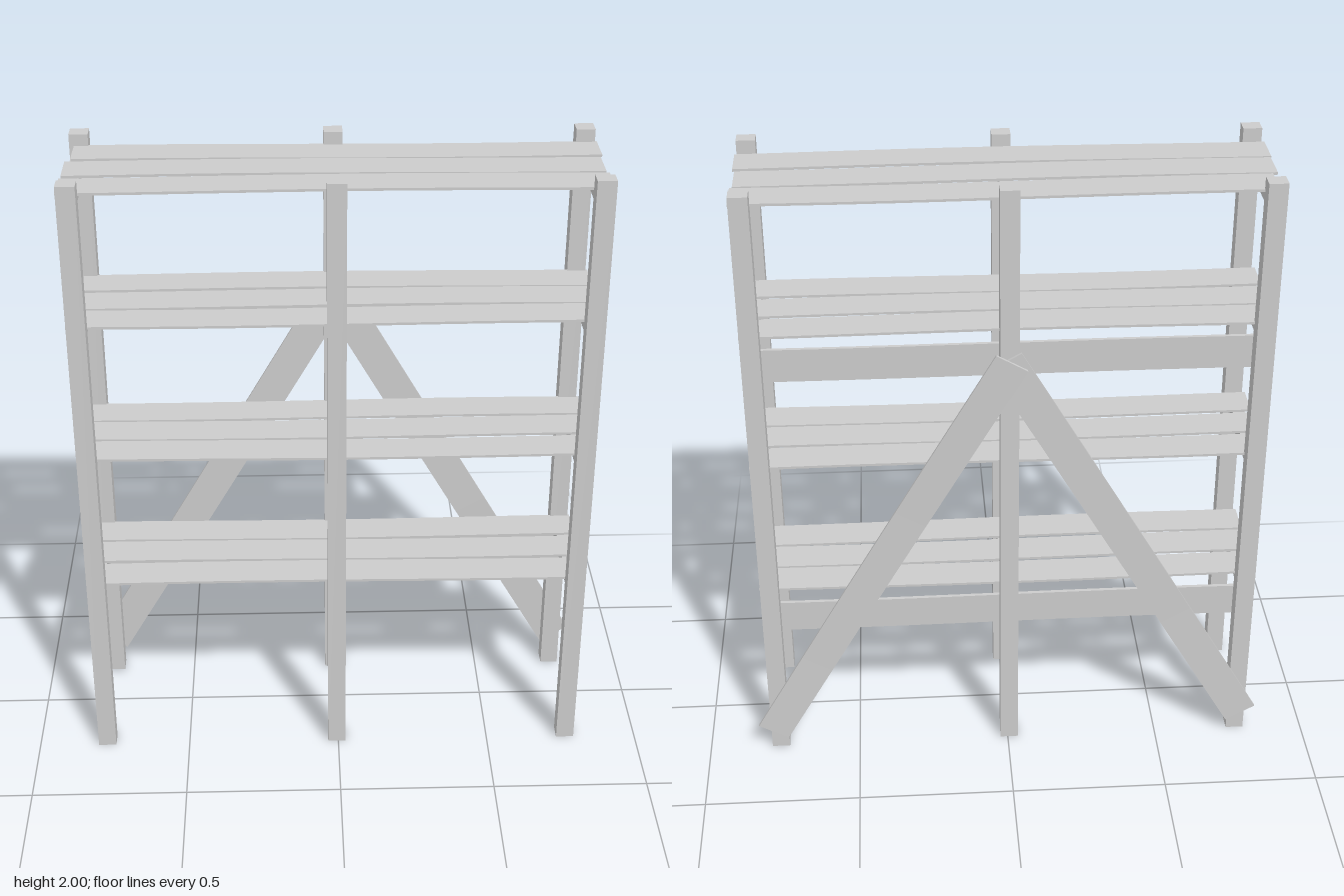
import * as THREE from 'three';

const material = new THREE.MeshStandardMaterial({ color: 0xcccccc, flatShading: true });

export function createModel() {
  const model = new THREE.Group();
  model.name = 'shelvingRack';

  const add = (name, geometry, x, y, z) => {
    const mesh = new THREE.Mesh(geometry, material);
    mesh.name = name;
    mesh.position.set(x, y, z);
    model.add(mesh);
    return mesh;
  };

  // Board along x, bowed slightly along one axis by bend(t), t from 0 to 1
  const board = (length, height, depth, axis, bend) => {
    const g = new THREE.BoxGeometry(length, height, depth, 10, 1, 1);
    const p = g.attributes.position;
    for (let i = 0; i < p.count; i++) {
      const offset = bend(p.getX(i) / length + 0.5);
      if (axis === 'y') p.setY(i, p.getY(i) + offset);
      else p.setZ(i, p.getZ(i) + offset);
    }
    g.computeVertexNormals();
    return g;
  };

  const columns = [-0.775, -0.005, 0.765];
  const shelfTops = [0.603, 1.063, 1.523, 1.95];

  // Upright posts and the short bearers between them
  for (const x of columns) {
    add('frontPost', new THREE.BoxGeometry(0.058, 2, 0.05), x, 1, 0.225);
    add('backPost', new THREE.BoxGeometry(0.058, 2, 0.054), x, 1, -0.198);
    for (const y of shelfTops) {
      add('shelfBearer', new THREE.BoxGeometry(0.04, 0.043, 0.37), x, y - 0.0215, 0.015);
    }
  }

  // Three slightly warped planks on each shelf
  const planks = [[0.137, -0.812, 0.8], [0.008, -0.807, 0.793], [-0.12, -0.79, 0.8]];
  shelfTops.forEach((y, level) => {
    planks.forEach(([z, x0, x1], k) => {
      const phase = level * 1.7 + k * 1.1;
      const bend = t => 0.003 * Math.sin(t * 5 + phase);
      add('shelfPlank', board(x1 - x0, 0.008, 0.115, 'y', bend), (x0 + x1) / 2, y + 0.007, z);
    });
  });

  // Wide rails along the inside of the back posts
  for (const y of [0.497, 1.427]) {
    add('backRail', board(1.605, 0.108, 0.012, 'z', t => 0.003 * Math.sin(t * 6)), -0.004, y, -0.161);
  }

  // Diagonal braces behind the back posts, crossing at the top
  const braceLength = 1.59;
  for (const side of [-1, 1]) {
    const topZ = side < 0 ? -0.234 : -0.245;
    const bend = t => {
      const s = side < 0 ? t : 1 - t; // 0 at the foot, 1 at the top
      const ends = THREE.MathUtils.lerp(-0.24, topZ, s);
      return ends + 0.007 * Math.sin(Math.PI * s);
    };
    const mesh = add('diagonalBrace', board(braceLength, 0.11, 0.009, 'z', bend), side * 0.388 - 0.001, 0.766, 0);
    mesh.rotation.z = -side * Math.PI / 3;
  }

  return model;
}
